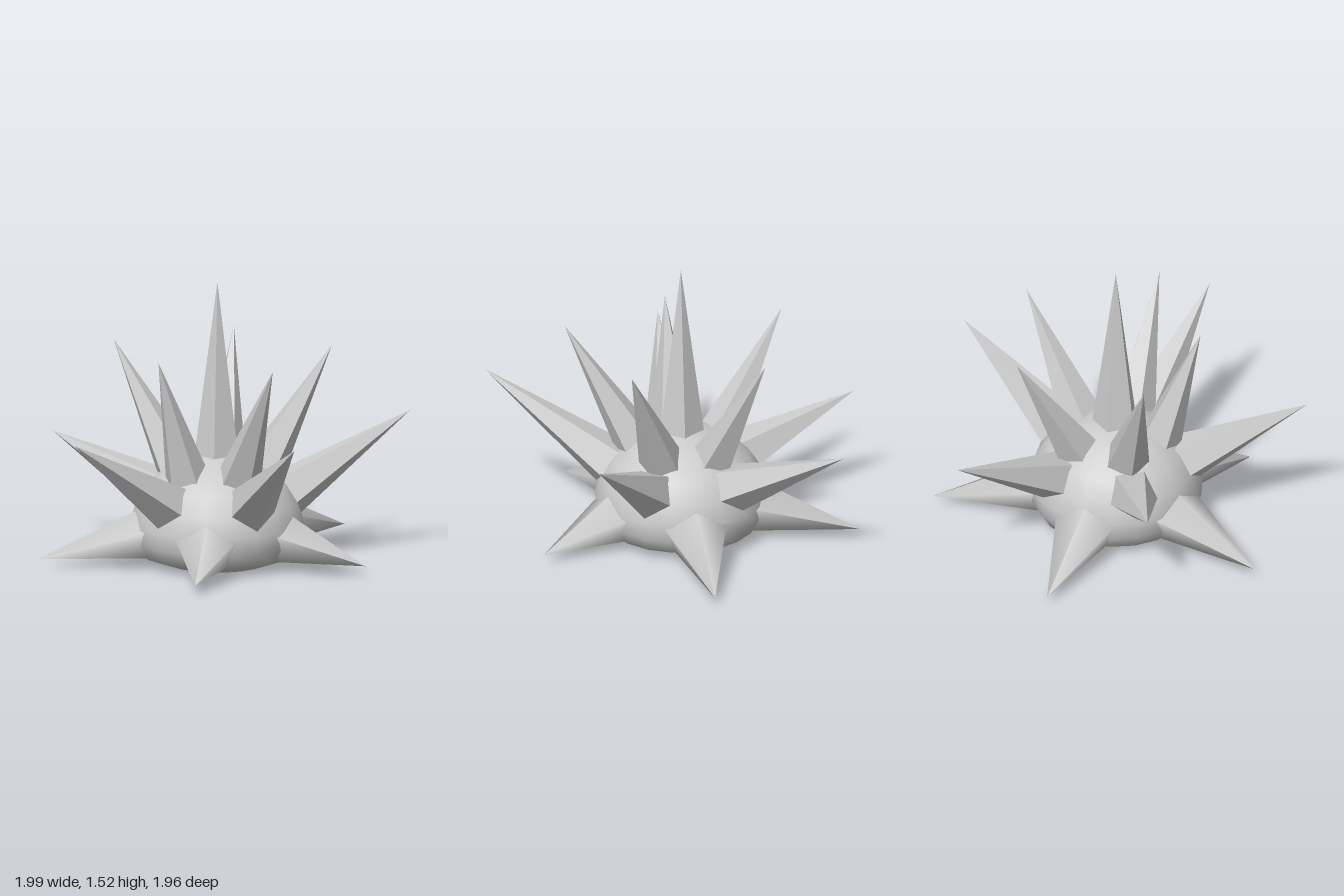
import * as THREE from 'three';

const CX = 0.02; // axis of the dome

// Five-sided spike: a cone sheared so its base lies on the dome and its tip lands on a point.
// azimuth: degrees around y; elevation: tilt of the base plane; pointUp: base corner up or down.
function spike(name, { azimuth, radius, y, elevation, width, height, pointUp, smooth, tip }) {
  const a = THREE.MathUtils.degToRad(azimuth);
  const e = THREE.MathUtils.degToRad(elevation);
  const out = new THREE.Vector3(Math.cos(a), 0, Math.sin(a));
  const base = out.clone().multiplyScalar(radius).add(new THREE.Vector3(CX, y, 0));
  const normal = out.clone().multiplyScalar(Math.cos(e)).setY(Math.sin(e));
  const up = out.clone().multiplyScalar(-Math.sin(e)).setY(Math.cos(e));
  if (!pointUp) up.negate();
  const side = normal.clone().cross(up);
  const axis = new THREE.Vector3(...tip).sub(base);

  const geometry = new THREE.ConeGeometry(1, 1, 5, 1, true);
  geometry.translate(0, 0.5, 0);
  const matrix = new THREE.Matrix4().makeBasis(
    side.multiplyScalar(width), axis, up.multiplyScalar(height));
  matrix.setPosition(base);
  geometry.applyMatrix4(matrix);

  const material = new THREE.MeshStandardMaterial({ color: 0xcccccc, flatShading: !smooth });
  const mesh = new THREE.Mesh(geometry, material);
  mesh.name = name;
  return mesh;
}

export function createModel() {
  const model = new THREE.Group();
  model.name = 'spikyDome';

  // Dome body with a flat underside
  const profile = [
    [0, 0], [0.27, 0], [0.41, 0.05], [0.455, 0.13], [0.46, 0.22], [0.43, 0.33],
    [0.365, 0.43], [0.27, 0.51], [0.14, 0.58], [0, 0.595],
  ].map(([r, y]) => new THREE.Vector2(r, y));
  const body = new THREE.Mesh(
    new THREE.LatheGeometry(profile, 20),
    new THREE.MeshStandardMaterial({ color: 0xcccccc }));
  body.name = 'body';
  body.position.x = CX;
  model.add(body);

  // Central spike
  model.add(spike('topSpike', {
    azimuth: 0, radius: 0, y: 0.57, elevation: 90, width: 0.125, height: 0.125,
    pointUp: false, tip: [0.02, 1.52, 0],
  }));

  // Upper ring
  const upperTips = [
    [0.52, 1.15, 0.36], [-0.17, 1.15, 0.59], [-0.43, 1.15, 0], [-0.17, 1.15, -0.58], [0.52, 1.15, -0.36],
  ];
  // Middle ring, slightly irregular
  const middleTips = [
    [0.87, 0.78, 0.6], [-0.41, 0.82, 0.98], [-1, 0.78, -0.07], [-0.22, 0.6, -0.98], [0.81, 0.72, -0.73],
  ];
  // Lower ring, smooth and close to the ground
  const lowerTips = [
    [0.99, 0.05, 0], [0.32, 0.05, 0.8], [-0.66, 0.05, 0.49], [-0.76, 0.05, -0.57], [0.32, 0.05, -0.91],
  ];
  for (let i = 0; i < 5; i++) {
    model.add(spike('upperSpike', {
      azimuth: 36 + 72 * i, radius: 0.24, y: 0.49, elevation: 58, width: 0.122, height: 0.122,
      pointUp: false, tip: upperTips[i],
    }));
    model.add(spike('middleSpike', {
      azimuth: 36 + 72 * i, radius: 0.37, y: 0.36, elevation: 35, width: 0.137, height: 0.137,
      pointUp: false, tip: middleTips[i],
    }));
    model.add(spike('lowerSpike', {
      azimuth: 72 * i, radius: 0.38, y: 0.175, elevation: 0, width: 0.19, height: 0.145,
      pointUp: true, smooth: true, tip: lowerTips[i],
    }));
  }
  return model;
}
